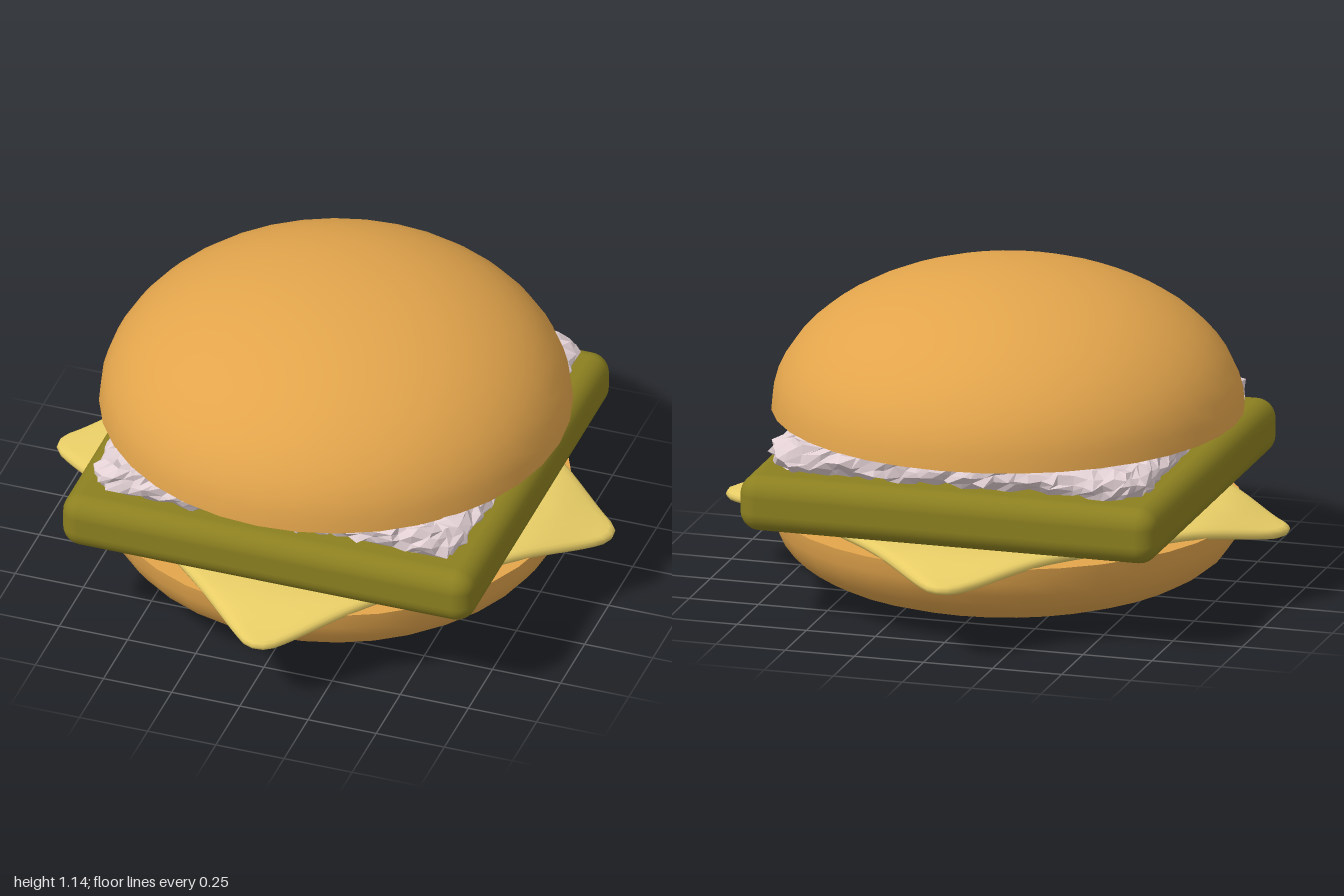
import * as THREE from 'three';
import { toCreasedNormals } from 'three/addons/utils/BufferGeometryUtils.js';
import { RoundedBoxGeometry } from 'three/addons/geometries/RoundedBoxGeometry.js';

const BUN = 0xe3a54c, PATTY = 0x8c8020, CHEESE = 0xe8cd66, ONION = 0xe2d0d4;

function part(name, geometry, color, flatShading = false) {
  const mesh = new THREE.Mesh(geometry, new THREE.MeshStandardMaterial({ color, flatShading }));
  mesh.name = name;
  return mesh;
}

// Closed solid of revolution with a sharp rim
function turned(points) {
  const profile = points.map(([x, y]) => new THREE.Vector2(x, y));
  return toCreasedNormals(new THREE.LatheGeometry(profile, 36), 0.8);
}

// Repeatable value in -1..1 for a position
function hash(x, y, z) {
  const s = Math.sin(x * 127.1 + y * 311.7 + z * 74.7) * 43758.5453;
  return (s - Math.floor(s)) * 2 - 1;
}

// Thin rounded square, concentric rings, with the corners sagging
function cheeseGeometry() {
  const h = 0.732, r = 0.08, k = h - r;
  const shape = new THREE.Shape();
  [[k, k], [-k, k], [-k, -k], [k, -k]].forEach(([x, y], i) =>
    shape.absarc(x, y, r, i * Math.PI / 2, (i + 1) * Math.PI / 2, false));
  shape.closePath();
  const outline = shape.getSpacedPoints(144).slice(0, 144);
  const n = outline.length;
  const top = [[0, 0.33], [0.4, 0.33], [0.7, 0.33], [0.78, 0.33], [0.84, 0.33], [0.9, 0.33], [0.95, 0.33], [0.98, 0.328], [0.994, 0.322]];
  const bottom = top.map(([s, y]) => [s, 0.62 - y]).reverse();
  const rings = [...top, [1, 0.31], ...bottom];
  const pos = [], index = [];
  rings.forEach(([s, y], i) => outline.forEach((p, j) => {
    const x = p.x * s, z = p.y * s;
    const sag = 0.05 * THREE.MathUtils.smoothstep(Math.hypot(x, z), 0.74, 0.98);
    pos.push(x, y - sag, z);
    if (i === rings.length - 1) return;
    const a = i * n + j, d = i * n + (j + 1) % n;
    if (s > 0) index.push(a, d, a + n);
    if (rings[i + 1][0] > 0) index.push(d, d + n, a + n);
    else if (s === 0) index.push(a, d, a + n);
  }));
  const g = new THREE.BufferGeometry();
  g.setAttribute('position', new THREE.Float32BufferAttribute(pos, 3));
  g.setIndex(index);
  g.computeVertexNormals();
  // Ring centres collapse to a point, so set their normals directly
  for (let j = 0; j < n; j++) {
    g.attributes.normal.setXYZ(j, 0, 1, 0);
    g.attributes.normal.setXYZ((rings.length - 1) * n + j, 0, -1, 0);
  }
  return g;
}

// Rounded square slab of chopped pieces: blocky steps plus fine jitter
function choppedGeometry() {
  const h = 0.68, r = 0.1, half = 0.052;
  const g = new THREE.BoxGeometry(h * 2, half * 2, h * 2, 34, 4, 34);
  const p = g.attributes.position;
  const v = new THREE.Vector3();
  for (let i = 0; i < p.count; i++) {
    v.fromBufferAttribute(p, i);
    const [qx, qy, qz] = [v.x, v.y, v.z].map(c => Math.round(c * 1000) / 100);
    const cx = THREE.MathUtils.clamp(v.x, r - h, h - r);
    const cz = THREE.MathUtils.clamp(v.z, r - h, h - r);
    const dx = v.x - cx, dz = v.z - cz;
    const f = Math.max(Math.abs(dx), Math.abs(dz)) / (Math.hypot(dx, dz) || 1);
    const t = Math.abs(v.y) / half;
    const step = 0.014 * hash(Math.floor(qx / 0.9), Math.floor(qy / 0.4), Math.floor(qz / 0.9));
    const scale = 1 - 0.05 * t * t + step;
    v.set((cx + dx * f) * scale, v.y, (cz + dz * f) * scale);
    v.x += 0.013 * hash(qx, qy, qz);
    v.y += 0.011 * hash(qy + 3, qz, qx);
    v.z += 0.013 * hash(qz, qx + 5, qy);
    p.setXYZ(i, v.x, v.y, v.z);
  }
  const flat = g.toNonIndexed();
  flat.computeVertexNormals();
  return flat;
}

export function createModel() {
  const model = new THREE.Group();
  model.name = 'burger';

  // Lower bun, flat on top
  model.add(part('bottomBun', turned([
    [0, 0], [0.2, 0.003], [0.34, 0.01], [0.47, 0.025], [0.57, 0.045], [0.65, 0.073],
    [0.71, 0.105], [0.755, 0.14], [0.79, 0.187], [0.81, 0.235], [0.818, 0.292], [0, 0.292],
  ]), BUN));

  // Cheese slice, turned so its corners poke out
  const cheese = part('cheeseSlice', cheeseGeometry(), CHEESE);
  cheese.rotation.y = THREE.MathUtils.degToRad(-41.6);
  model.add(cheese);

  // Square patty
  const patty = part('patty', new RoundedBoxGeometry(1.51, 0.2, 1.51, 5, 0.07), PATTY);
  patty.position.y = 0.43;
  model.add(patty);

  // Chopped onion layer
  const onions = part('choppedOnions', choppedGeometry(), ONION, true);
  onions.position.y = 0.584;
  model.add(onions);

  // Domed upper bun with a flat underside
  const dome = [[0, 0.64]];
  for (let i = 0; i <= 14; i++) {
    const a = i / 14 * Math.PI / 2;
    dome.push([i === 14 ? 0 : 0.82 * Math.cos(a), 0.64 + 0.505 * Math.sin(a)]);
  }
  model.add(part('topBun', turned(dome), BUN));
  return model;
}
